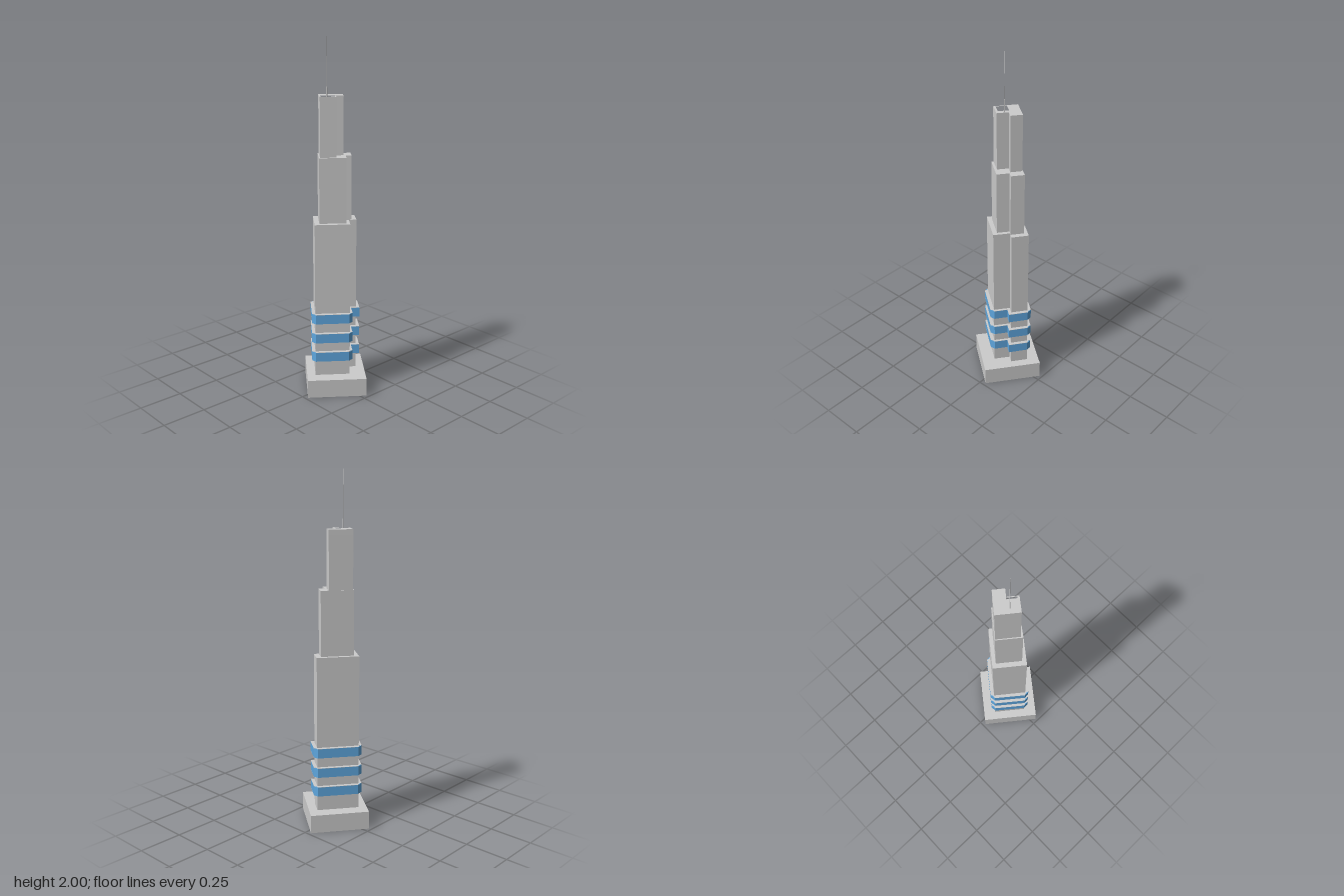
import * as THREE from 'three';

const grey = new THREE.MeshStandardMaterial({ color: 0xcccccc, flatShading: true });
const blue = new THREE.MeshStandardMaterial({ color: 0x5fa8e0, flatShading: true });

// Upright prism from a plan outline of [x, z] points
function prism(name, plan, y0, y1, material, hole) {
  const toVec = ([x, z]) => new THREE.Vector2(x, -z);
  const shape = new THREE.Shape(plan.map(toVec));
  if (hole) shape.holes.push(new THREE.Path(hole.map(toVec)));
  const geo = new THREE.ExtrudeGeometry(shape, { depth: y1 - y0, bevelEnabled: false });
  geo.rotateX(-Math.PI / 2).translate(0, y0, 0);
  const mesh = new THREE.Mesh(geo, material);
  mesh.name = name;
  return mesh;
}

export function createModel() {
  const model = new THREE.Group();
  model.name = 'skyscraper';

  // Square podium, turned on the site
  const podium = [[-0.031, -0.234], [0.234, -0.031], [0.031, 0.234], [-0.234, 0.031]];
  model.add(prism('podium', podium, 0, 0.105, grey));

  // Three stacked tiers, each with a notch cut from one corner
  const lower = [[-0.005, -0.153], [0.073, -0.095], [0.047, -0.061], [0.121, -0.004], [0.003, 0.152], [-0.149, 0.035]];
  const middle = [[-0.005, -0.119], [0.055, -0.073], [0.034, -0.047], [0.09, -0.003], [0, 0.115], [-0.116, 0.026]];
  const upper = [[-0.029, -0.081], [0.023, -0.042], [-0.004, -0.007], [0.047, 0.032], [-0.006, 0.103], [-0.111, 0.023]];
  const pit = [[-0.011, -0.007], [0.036, 0.029], [-0.012, 0.091], [-0.059, 0.055]];
  const pitFloor = 1.66;
  model.add(
    prism('lowerTier', lower, 0.105, 1.0, grey),
    prism('middleTier', middle, 1.0, 1.365, grey),
    prism('upperTier', upper, 1.365, pitFloor, grey),
    prism('roofParapet', upper, pitFloor, 1.69, grey, pit),
  );

  // Blue belts with chamfered corners
  const belt = [
    [-0.021, -0.164], [0.009, -0.166], [0.098, -0.1], [0.069, -0.061], [0.13, -0.016],
    [0.134, 0.013], [0.02, 0.162], [-0.011, 0.165], [-0.157, 0.051], [-0.162, 0.018],
  ];
  // Grey slab faces dip inward slightly at the middle of each chamfer
  const slab = [];
  belt.forEach((p, i) => {
    slab.push(p);
    if ([0, 4, 6, 8].includes(i)) {
      const q = belt[(i + 1) % belt.length];
      slab.push([(p[0] + q[0]) / 2 * 0.965, (p[1] + q[1]) / 2 * 0.965]);
    }
  });
  for (const y of [0.197, 0.31, 0.426]) {
    model.add(
      prism('belt', belt, y, y + 0.054, blue),
      prism('beltTop', slab, y + 0.054, y + 0.0555, grey),
      prism('beltUnderside', slab, y - 0.0015, y, grey),
    );
  }

  // Stepped antenna standing in the roof pit
  for (const [name, r, y0, y1] of [['antennaBase', 0.003, pitFloor, 1.74], ['antennaMast', 0.0012, 1.74, 2]]) {
    const rod = new THREE.Mesh(new THREE.CylinderGeometry(r, r, y1 - y0, 8), grey);
    rod.position.set(-0.023, (y0 + y1) / 2, 0.039);
    rod.name = name;
    model.add(rod);
  }
  return model;
}
